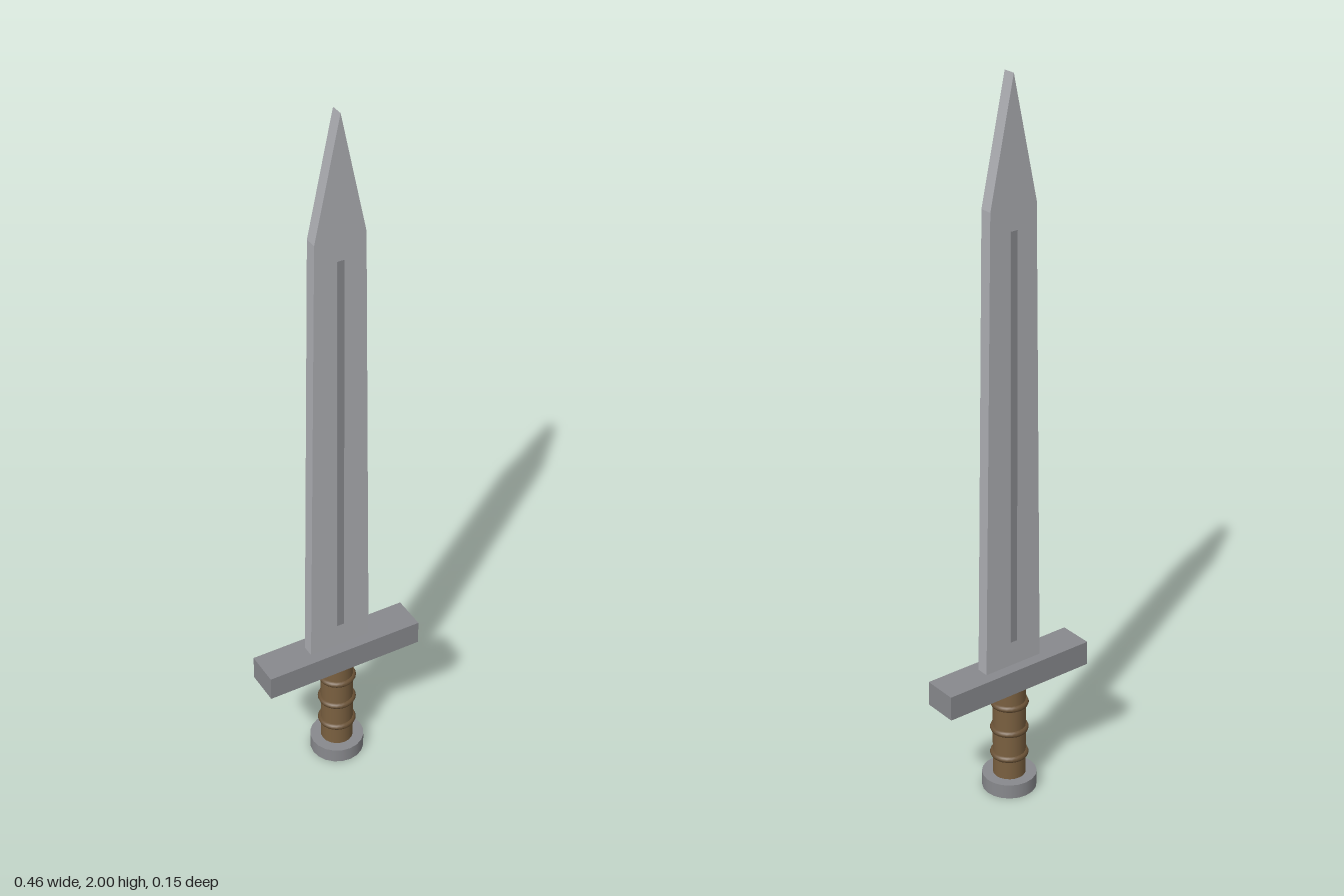
import * as THREE from 'three';

export function createModel() {
  const mat = (name, color) => {
    const m = new THREE.MeshStandardMaterial({ color });
    m.name = name;
    return m;
  };
  const steel = mat('blade steel', 0xacadb2);
  const darkSteel = mat('dark steel', 0x88898d);
  const leather = mat('grip leather', 0x7a6040);
  const wrap = mat('grip wrap', 0x6a5236);

  const sword = new THREE.Group();
  sword.name = 'sword';
  const add = (name, geometry, material, y) => {
    const mesh = new THREE.Mesh(geometry, material);
    mesh.name = name;
    mesh.position.y = y;
    sword.add(mesh);
    return mesh;
  };

  // Pommel disc and round grip
  add('pommel', new THREE.CylinderGeometry(0.075, 0.075, 0.042, 20), darkSteel, 0.021);
  add('grip', new THREE.CylinderGeometry(0.045, 0.045, 0.28, 20), leather, 0.18);

  // Raised wraps around the grip
  for (const y of [0.105, 0.185, 0.265]) {
    const ring = add('gripRing', new THREE.TorusGeometry(0.044, 0.009, 8, 24), wrap, y);
    ring.rotation.x = Math.PI / 2;
  }

  // Crossguard
  add('crossguard', new THREE.BoxGeometry(0.46, 0.07, 0.098), darkSteel, 0.353);

  // Flat tapered blade with a pointed tip
  const outline = new THREE.Shape(
    [[-0.09, 0.37], [0.09, 0.37], [0.071, 1.67], [0, 2], [-0.071, 1.67]]
      .map(([x, y]) => new THREE.Vector2(x, y)));
  const blade = new THREE.ExtrudeGeometry(outline, { depth: 0.035, bevelEnabled: false });
  blade.translate(0, 0, -0.0175);
  add('blade', blade, steel, 0);

  // Central rib standing slightly proud of both blade faces
  add('bladeRib', new THREE.BoxGeometry(0.02, 1.15, 0.041), darkSteel, 1.035);

  return sword;
}
